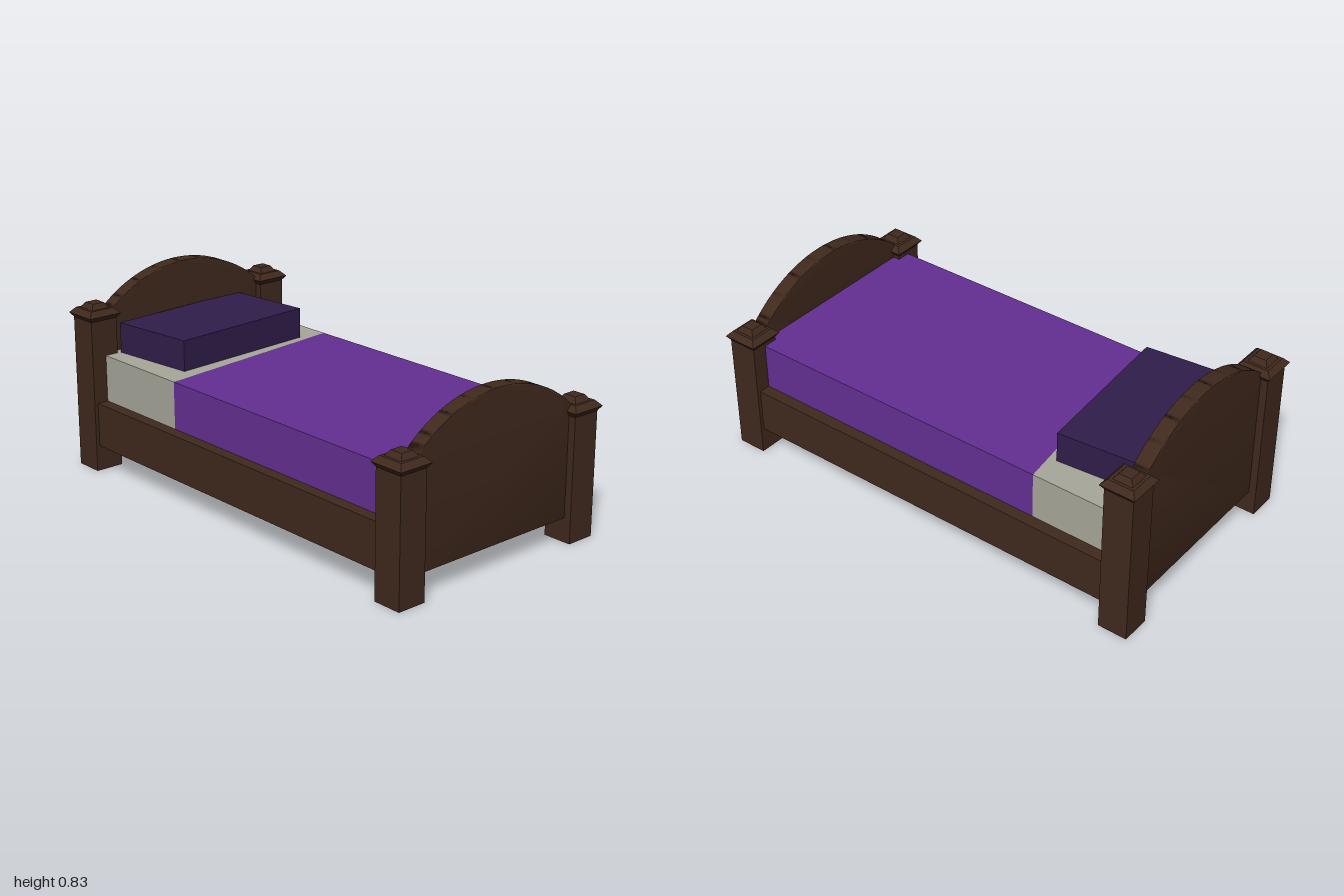
import * as THREE from 'three';
import { mergeVertices } from 'three/addons/utils/BufferGeometryUtils.js';

const mat = (color) => new THREE.MeshStandardMaterial({ color });

function part(name, geometry, material, parent) {
  const mesh = new THREE.Mesh(geometry, material);
  mesh.name = name;
  parent.add(mesh);
  return mesh;
}

// Upright prism from a floor outline of [x, z] corners
function prism(corners, y0, y1) {
  const shape = new THREE.Shape(corners.map(([x, z]) => new THREE.Vector2(x, -z)));
  return new THREE.ExtrudeGeometry(shape, { depth: y1 - y0, bevelEnabled: false })
    .rotateX(-Math.PI / 2)
    .translate(0, y0, 0);
}

// Square, flat-sided turning from [half width, y] steps, bottom to top
function squareTurning(steps) {
  const points = steps.map(([half, y]) => new THREE.Vector2(half * Math.SQRT2, y));
  const geometry = new THREE.LatheGeometry(points, 4, Math.PI / 4).toNonIndexed();
  geometry.computeVertexNormals();
  return geometry;
}

// Arched end board with softly blended normals
function archedBoard(bottom, shoulder, crown, thickness) {
  const half = 0.4;
  const rise = crown - shoulder;
  const radius = (half * half + rise * rise) / (2 * rise);
  const angle = Math.asin(half / radius);
  const shape = new THREE.Shape();
  shape.moveTo(-half, bottom);
  shape.lineTo(half, bottom);
  shape.lineTo(half, shoulder);
  shape.absarc(0, crown - radius, radius, Math.PI / 2 - angle, Math.PI / 2 + angle, false);
  shape.closePath();
  let geometry = new THREE.ExtrudeGeometry(shape, {
    depth: thickness, bevelEnabled: false, curveSegments: 32,
  }).translate(0, 0, -thickness / 2);
  geometry.deleteAttribute('normal');
  geometry.deleteAttribute('uv');
  geometry = mergeVertices(geometry);
  geometry.computeVertexNormals();
  return geometry;
}

export function createModel() {
  const bed = new THREE.Group();
  bed.name = 'bed';
  const wood = mat(0x40291d);
  const sheet = mat(0xa8a79a);
  const purple = mat(0x642f93);
  const darkPurple = mat(0x301d4a);

  // Posts with stepped caps, and the arched boards between them
  const ends = [
    { name: 'foot', z: 0.922, postTop: 0.515, shoulder: 0.56, crown: 0.716 },
    { name: 'head', z: -0.922, postTop: 0.655, shoulder: 0.675, crown: 0.83 },
  ];
  for (const end of ends) {
    for (const side of [-1, 1]) {
      const post = new THREE.Group();
      post.name = `${end.name}Post${side > 0 ? 'Left' : 'Right'}`;
      post.position.set(side * 0.453, 0, end.z);
      bed.add(post);
      const h = end.postTop;
      part('postShaft', new THREE.BoxGeometry(0.126, h, 0.126).translate(0, h / 2, 0), wood, post);
      part('postCap', squareTurning([
        [0, h], [0.0625, h], [0.077, h + 0.02], [0.055, h + 0.043],
        [0.043, h + 0.043], [0.027, h + 0.065], [0, h + 0.065],
      ]), wood, post);
    }
    part(`${end.name}board`, archedBoard(0.1, end.shoulder, end.crown, 0.064), wood, bed)
      .position.z = end.z;
  }

  // Frame: side rails and the closed base between them
  for (const side of [-1, 1]) {
    part(side > 0 ? 'railLeft' : 'railRight', new THREE.BoxGeometry(0.05, 0.19, 1.8), wood, bed)
      .position.set(side * 0.475, 0.205, 0);
  }
  part('base', new THREE.BoxGeometry(0.9, 0.18, 1.8), wood, bed).position.set(0, 0.2, 0);

  // Bedding: bare mattress at the head, blanket with a slanted edge
  const w = 0.45;
  part('mattress', prism([[-w, -0.39], [w, -0.5], [w, -0.9], [-w, -0.9]], 0.29, 0.5), sheet, bed);
  part('blanket', prism([[-w, 0.9], [w, 0.9], [w, -0.5], [-w, -0.39]], 0.29, 0.5), purple, bed);

  // Pillow, slightly askew
  part('pillow', prism(
    [[-0.335, -0.47], [0.33, -0.52], [0.295, -0.905], [-0.375, -0.855]], 0.5, 0.63,
  ), darkPurple, bed);

  return bed;
}
